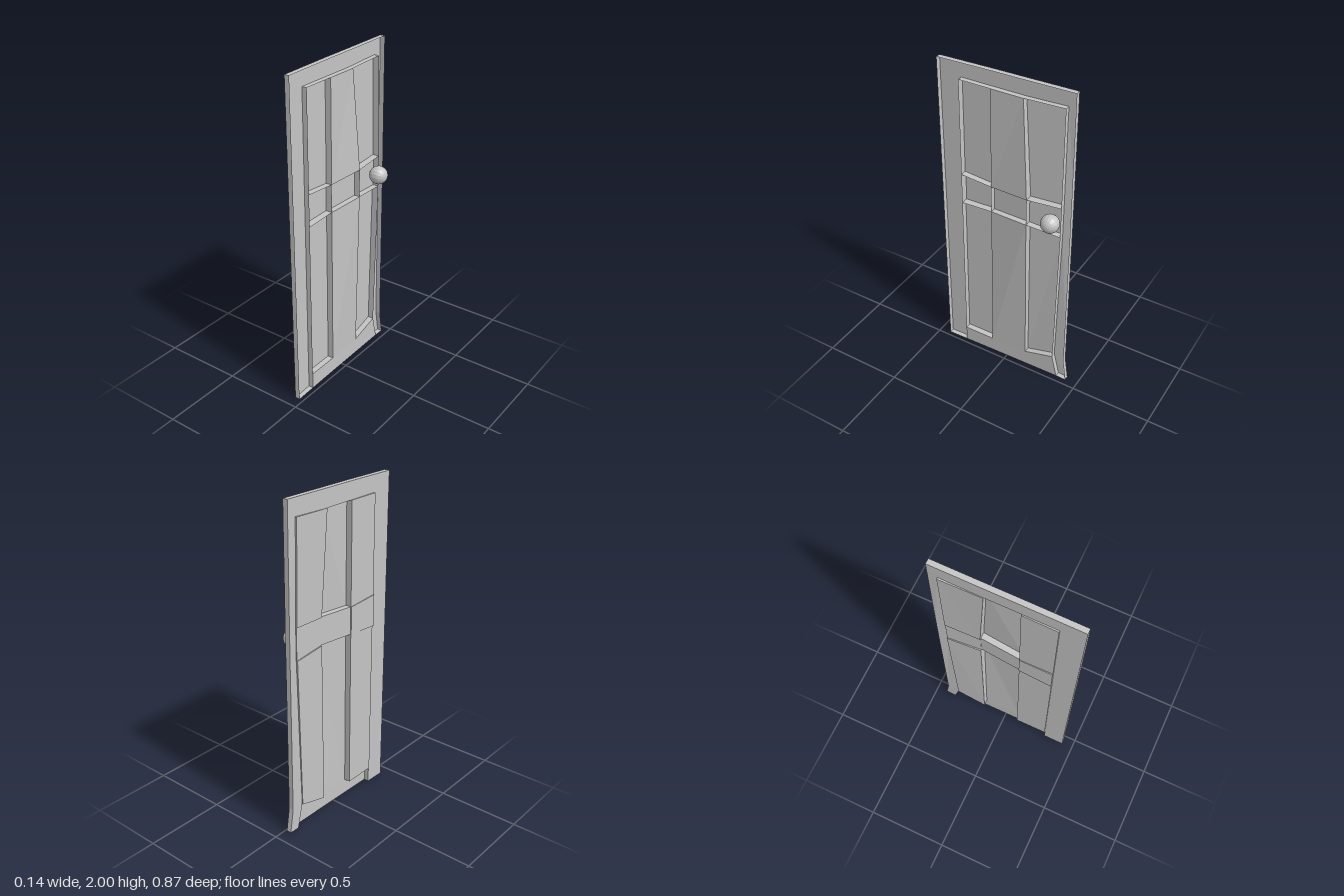
import * as THREE from 'three';

const F = -0.026, B = -0.057; // usual front and back planes of the pressed sheet

// Strip outline: corners [y, z, frontX, backX] up one side and back down the other.
// A 'front' part is a plain sheet; a 'back' part is a tray with walls up to the front plane.
function panel(name, corners, material, side) {
  const front = corners.map(([y, z, f = F]) => [f, y, z]);
  const back = corners.map(([y, z, , b = B]) => [b, y, z]);
  const face = side === 'front' ? front : back;
  const n = corners.length, out = [];
  const quad = (a, b, c, d) => out.push(...a, ...b, ...c, ...a, ...c, ...d);
  for (let i = 0; i < n / 2 - 1; i++) quad(face[i], face[i + 1], face[n - 2 - i], face[n - 1 - i]);
  if (side === 'back') {
    for (let i = 0; i < n; i++) {
      const j = (i + 1) % n;
      quad(front[i], back[i], back[j], front[j]);
    }
  }
  const g = new THREE.BufferGeometry();
  g.setAttribute('position', new THREE.Float32BufferAttribute(out, 3));
  g.computeVertexNormals();
  const mesh = new THREE.Mesh(g, material);
  mesh.name = name;
  return mesh;
}

export function createModel() {
  const model = new THREE.Group();
  model.name = 'crookedDoor';
  const grey = new THREE.MeshStandardMaterial({ color: 0xc4c4c4, side: THREE.DoubleSide });
  grey.name = 'doorGrey';
  const sheet = (name, corners) => model.add(panel(name, corners, grey, 'front'));
  const tray = (name, corners) => model.add(panel(name, corners, grey, 'back'));

  // Outer frame: hinge stile, top rail and latch stile with a kicked-out foot
  tray('frame', [
    [0.003, 0.3], [1.89, 0.3], [1.89, 0.1], [1.89, -0.1], [1.9, -0.345],
    [1.295, -0.35, -0.018, -0.05], [1.1, -0.35, -0.018, -0.05], [0.165, -0.33], [0.016, -0.365],
    [0.016, -0.43, -0.024, -0.055], [0.165, -0.408], [1.1, -0.406], [1.295, -0.405], [2, -0.4],
    [1.996, -0.1], [1.994, 0.1], [1.988, 0.435], [0, 0.43],
  ]);

  // Bottom rail and warped centre stile stand at the front
  sheet('bottomRail', [
    [0.003, 0.3], [0.008, 0.1], [0.012, -0.14], [0.016, -0.365],
    [0.165, -0.33], [0.112, -0.14], [0.105, 0.1], [0.105, 0.3],
  ]);
  sheet('upperMullion', [[1.275, 0.1, -0.025], [1.285, -0.14, -0.005], [1.89, -0.1], [1.89, 0.1]]);
  sheet('lowerMullion', [[0.105, 0.1], [0.112, -0.14], [1.115, -0.14, -0.005], [1.105, 0.1, -0.025]]);

  // Lock rail, stepping forward towards the knob
  tray('lockRailHingeSide', [
    [1.095, 0.3, -0.026, -0.072], [1.105, 0.1, -0.025, -0.066],
    [1.275, 0.1, -0.025, -0.066], [1.29, 0.3, -0.026, -0.072],
  ]);
  tray('lockRailMiddle', [
    [1.105, 0.1, -0.025, -0.06], [1.115, -0.14, -0.005, -0.042],
    [1.285, -0.14, -0.005, -0.042], [1.275, 0.1, -0.025, -0.06],
  ]);
  tray('lockRailLatchSide', [
    [1.115, -0.14, -0.005, -0.044], [1.1, -0.35, -0.018, -0.055],
    [1.295, -0.35, -0.018, -0.055], [1.285, -0.14, -0.005, -0.044],
  ]);

  // Sunken panels
  tray('upperHingePanel', [
    [1.29, 0.3, F, -0.066], [1.275, 0.1, -0.025, -0.063], [1.89, 0.1, F, -0.063], [1.89, 0.3, F, -0.066],
  ]);
  tray('lowerHingePanel', [
    [0.105, 0.3, F, -0.063], [0.105, 0.1, F, -0.063], [1.105, 0.1, -0.025, -0.063], [1.095, 0.3, F, -0.064],
  ]);
  tray('upperLatchPanel', [
    [1.285, -0.14, -0.005, -0.052], [1.295, -0.35, -0.018, -0.06], [1.9, -0.345, F, -0.067], [1.89, -0.1, F, -0.06],
  ]);
  tray('lowerLatchPanel', [
    [0.112, -0.14, F, -0.062], [0.165, -0.33, F, -0.063], [1.1, -0.35, -0.018, -0.06], [1.115, -0.14, -0.005, -0.052],
  ]);

  // Faceted round knob
  const ball = new THREE.SphereGeometry(0.055, 16, 12).toNonIndexed();
  ball.rotateZ(Math.PI / 2);
  ball.computeVertexNormals();
  const knob = new THREE.Mesh(ball, grey);
  knob.name = 'knob';
  knob.position.set(0.015, 1.2, -0.302);
  model.add(knob);

  return model;
}
